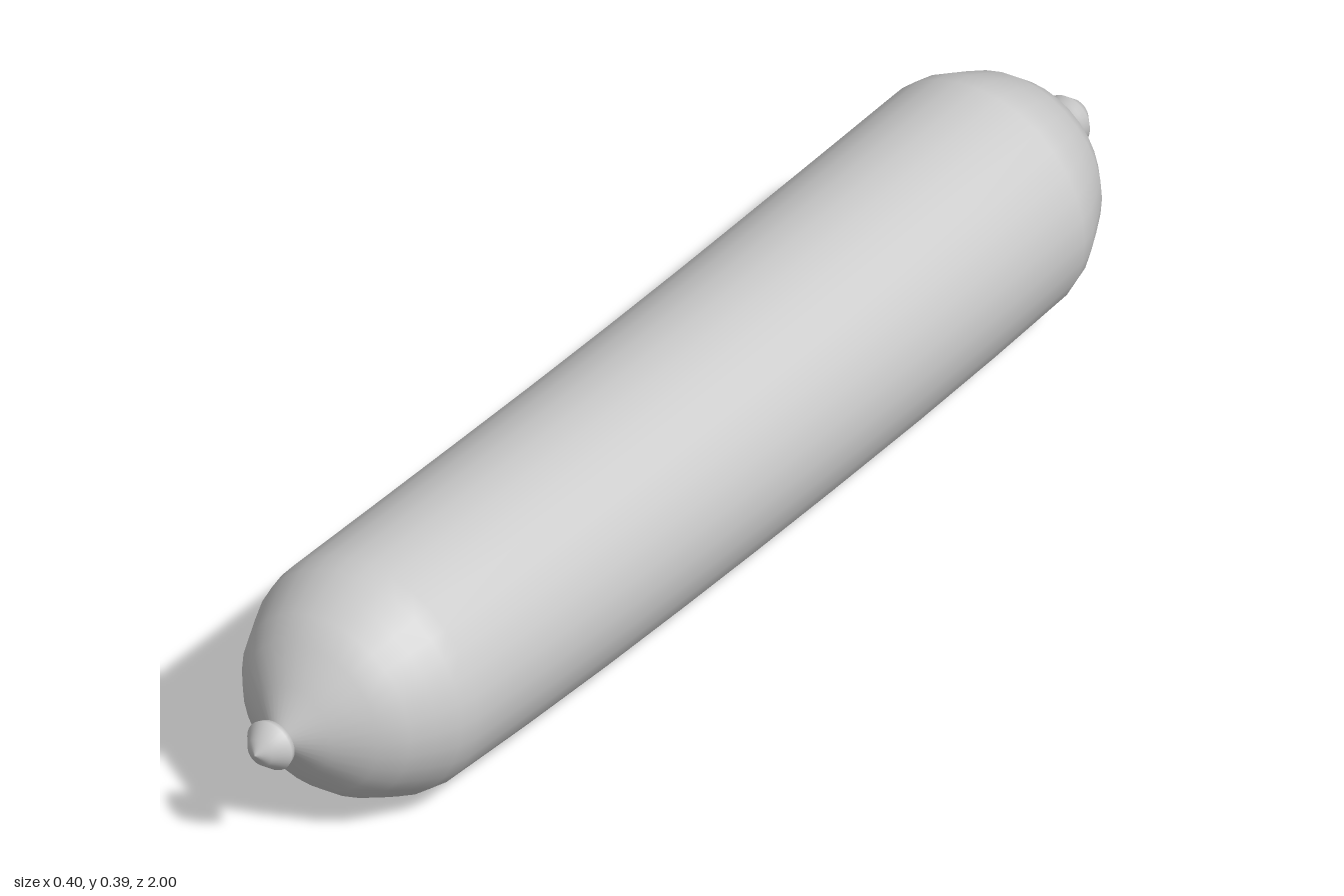
import * as THREE from 'three';

const SIDES = 32;
const CENTRE_Y = 0.195;

// Revolve a [radius, z] profile around z, then bow it gently sideways.
function bentLathe(profile) {
  const points = profile.map(([r, z]) => new THREE.Vector2(r, z));
  const geometry = new THREE.LatheGeometry(points, SIDES).rotateX(Math.PI / 2);
  const pos = geometry.attributes.position;
  for (let i = 0; i < pos.count; i++) {
    const z = pos.getZ(i);
    pos.setXYZ(i, pos.getX(i) + 0.006 - 0.026 * z * z, pos.getY(i) + CENTRE_Y, z);
  }
  return geometry;
}

// Mirror a half profile running from the middle outwards to the back end.
const mirrorProfile = (half) => half.map(([r, z]) => [r, -z]).reverse();

export function createModel() {
  const group = new THREE.Group();
  const material = new THREE.MeshStandardMaterial({ color: 0xcccccc });
  const add = (name, profile) => {
    const mesh = new THREE.Mesh(bentLathe(profile), material);
    mesh.name = name;
    group.add(mesh);
  };

  // Long casing with rounded, tapering ends
  const half = [
    [0.194, 0.18], [0.194, 0.36], [0.193, 0.55], [0.191, 0.735],
    [0.185, 0.765], [0.169, 0.8], [0.15, 0.838], [0.121, 0.873],
    [0.07, 0.91], [0.02, 0.943],
  ];
  add('casing', [...mirrorProfile(half), [0.194, 0], ...half]);

  // Small pinched knob at each end
  const knob = [[0.02, 0.943], [0.037, 0.956], [0.04, 0.966], [0.022, 0.988], [0, 1]];
  add('frontKnob', knob);
  add('backKnob', mirrorProfile(knob));

  return group;
}
